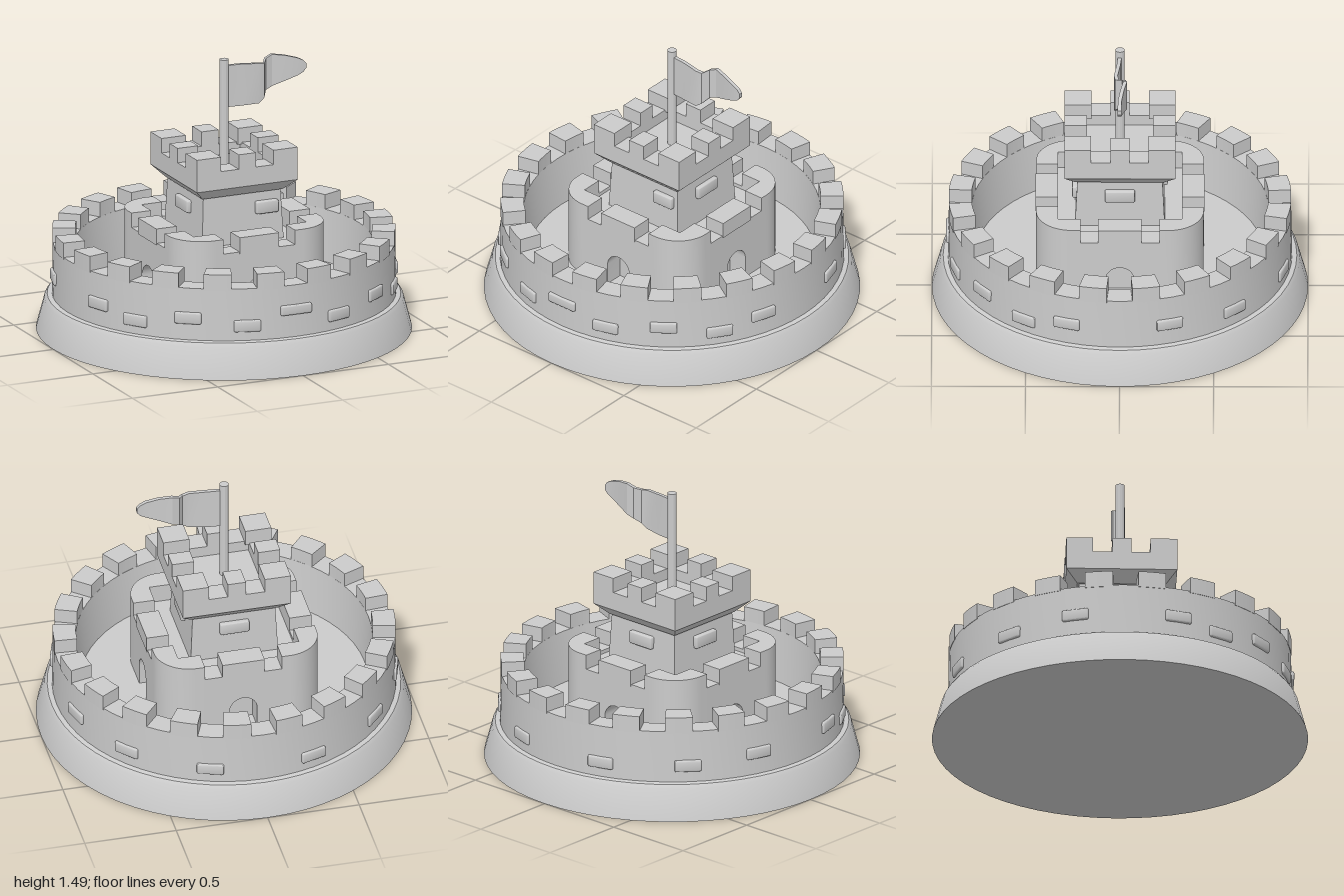
import * as THREE from 'three';
import { RoundedBoxGeometry } from 'three/addons/geometries/RoundedBoxGeometry.js';
import { toCreasedNormals } from 'three/addons/utils/BufferGeometryUtils.js';

const material = new THREE.MeshStandardMaterial({ color: 0xcccccc });
const RAD = Math.PI / 180;

export function createModel() {
  const model = new THREE.Group();

  function add(name, geometry, parent = model) {
    const mesh = new THREE.Mesh(toCreasedNormals(geometry, 0.4), material);
    mesh.name = name;
    parent.add(mesh);
    return mesh;
  }
  function group(name) {
    const g = new THREE.Group();
    g.name = name;
    model.add(g);
    return g;
  }
  // Box given by its centre in plan, its size and its bottom and top heights
  function block(name, x, z, w, d, y0, y1, parent) {
    const mesh = add(name, new THREE.BoxGeometry(w, y1 - y0, d), parent);
    mesh.position.set(x, (y0 + y1) / 2, z);
    return mesh;
  }
  // Plan shape raised from y0 to y1
  function raise(shape, y0, y1) {
    const g = new THREE.ExtrudeGeometry(shape, { depth: y1 - y0, bevelEnabled: false, curveSegments: 8 });
    return g.rotateX(-Math.PI / 2).translate(0, y0, 0);
  }
  function brick(name, w, h, parent) {
    return add(name, new RoundedBoxGeometry(w, h, 0.05, 2, 0.01), parent);
  }

  // Round plinth, ring wall and courtyard floor in one turned profile
  const profile = [[0, 0], [1, 0], [0.955, 0.17], [0.94, 0.19], [0.915, 0.195], [0.91, 0.48],
    [0.79, 0.48], [0.765, 0.2], [0, 0.2]].map(([r, y]) => new THREE.Vector2(r, y));
  add('plinthAndRingWall', new THREE.LatheGeometry(profile, 60));

  // Ring wall merlons
  const ringMerlons = group('ringMerlons');
  const half = 4.7 * RAD;
  const sector = new THREE.Shape();
  sector.absarc(0, 0, 0.912, -half, half, false);
  sector.absarc(0, 0, 0.79, half, -half, true);
  const merlonGeometry = raise(sector, 0.47, 0.56);
  for (let i = 0; i < 20; i++) {
    add('ringMerlon', merlonGeometry, ringMerlons).rotation.y = (9 + 18 * i) * RAD;
  }

  // Raised bricks on the ring wall: angle from the front, height
  const ringBricks = group('ringBricks');
  const placeRingBrick = (angle, y) => {
    const a = angle * RAD;
    const b = brick('ringBrick', angle === 0 ? 0.18 : 0.145, angle === 0 ? 0.055 : 0.065, ringBricks);
    b.position.set(Math.sin(a) * 0.899, y, Math.cos(a) * 0.899);
    b.rotation.y = a;
  };
  placeRingBrick(0, 0.345);
  for (const [angle, y] of [[17, 0.275], [37, 0.315], [56, 0.27], [72, 0.315],
    [107, 0.315], [132, 0.285], [162, 0.275]]) {
    placeRingBrick(angle, y);
    placeRingBrick(-angle, y);
  }

  // Inner keep: core, rounded corners and four walls with arched niches
  const keep = group('innerKeep');
  block('keepCore', 0, 0, 0.68, 0.68, 0.19, 0.53, keep);
  const corner = new THREE.Shape();
  corner.moveTo(0.21, 0.33);
  corner.lineTo(0.33, 0.33);
  corner.lineTo(0.33, 0.21);
  corner.lineTo(0.445, 0.21);
  corner.lineTo(0.445, 0.255);
  corner.absarc(0.255, 0.255, 0.19, 0, Math.PI / 2, false);
  corner.lineTo(0.21, 0.445);
  const cornerGeometry = raise(corner, 0.19, 0.63);

  const wall = new THREE.Shape();
  wall.moveTo(-0.21, 0.19);
  wall.lineTo(-0.075, 0.19);
  wall.lineTo(-0.075, 0.32);
  wall.absarc(0, 0.32, 0.075, Math.PI, 0, true);
  wall.lineTo(0.075, 0.19);
  wall.lineTo(0.21, 0.19);
  wall.lineTo(0.21, 0.55);
  wall.lineTo(-0.21, 0.55);
  const wallGeometry = new THREE.ExtrudeGeometry(wall, { depth: 0.115, bevelEnabled: false, curveSegments: 12 })
    .translate(0, 0, 0.33);
  for (let i = 0; i < 4; i++) {
    const side = new THREE.Group();
    side.name = 'keepSide';
    side.rotation.y = i * Math.PI / 2;
    keep.add(side);
    add('keepCorner', cornerGeometry, side);
    add('keepArchedWall', wallGeometry, side);
    block('keepMerlon', 0, 0.39, 0.23, 0.12, 0.54, 0.63, side);
  }

  // Square tower: shaft, flared collar and parapet
  const tower = group('tower');
  function squareTaper(name, bottom, top, y0, y1) {
    const g = new THREE.CylinderGeometry(top * Math.SQRT2, bottom * Math.SQRT2, y1 - y0, 4);
    g.rotateY(Math.PI / 4).translate(0, (y0 + y1) / 2, 0);
    add(name, g, tower);
  }
  squareTaper('towerShaft', 0.24, 0.225, 0.5, 0.82);
  squareTaper('towerCollar', 0.235, 0.295, 0.8, 0.86);
  block('towerRoof', 0, 0, 0.5, 0.5, 0.855, 0.9, tower);
  const square = (s, Type) => new Type([[-s, -s], [s, -s], [s, s], [-s, s]].map(([x, y]) => new THREE.Vector2(x, y)));
  const parapet = square(0.295, THREE.Shape);
  parapet.holes.push(square(0.175, THREE.Path));
  add('towerParapet', raise(parapet, 0.86, 0.96), tower);
  for (let i = 0; i < 4; i++) {
    const side = new THREE.Group();
    side.name = 'towerSide';
    side.rotation.y = i * Math.PI / 2;
    tower.add(side);
    block('towerCornerMerlon', 0.224, 0.224, 0.142, 0.142, 0.95, 1.04, side);
    block('towerMerlon', 0, 0.235, 0.1, 0.12, 0.95, 1.04, side);
    const b = brick('towerBrick', i === 0 ? 0.13 : 0.16, 0.07, side);
    b.position.set(i === 0 ? 0.14 : 0, 0.715, 0.229);
  }

  // Flagpole and waving pennant
  const pole = add('flagpole', new THREE.CylinderGeometry(0.025, 0.025, 0.6, 12));
  pole.position.y = 1.185;
  // Flag stations: x, bottom, top, sideways wave
  const stations = [[0.01, 1.22, 1.45, 0], [0.1, 1.22, 1.45, 0.008], [0.19, 1.225, 1.445, 0.022],
    [0.225, 1.25, 1.44, 0.015], [0.25, 1.28, 1.455, -0.02], [0.29, 1.295, 1.47, -0.028],
    [0.36, 1.32, 1.46, -0.012], [0.43, 1.345, 1.44, 0], [0.46, 1.36, 1.425, 0.001], [0.477, 1.38, 1.405, 0.001]];
  const flag = new THREE.BoxGeometry(1, 1, 1, stations.length - 1, 1, 1);
  const p = flag.attributes.position;
  for (let i = 0; i < p.count; i++) {
    const [x, low, high, wave] = stations[Math.round((p.getX(i) + 0.5) * (stations.length - 1))];
    p.setXYZ(i, x, p.getY(i) > 0 ? high : low, wave + p.getZ(i) * 0.02);
  }
  flag.computeVertexNormals();
  add('flag', flag);

  return model;
}
